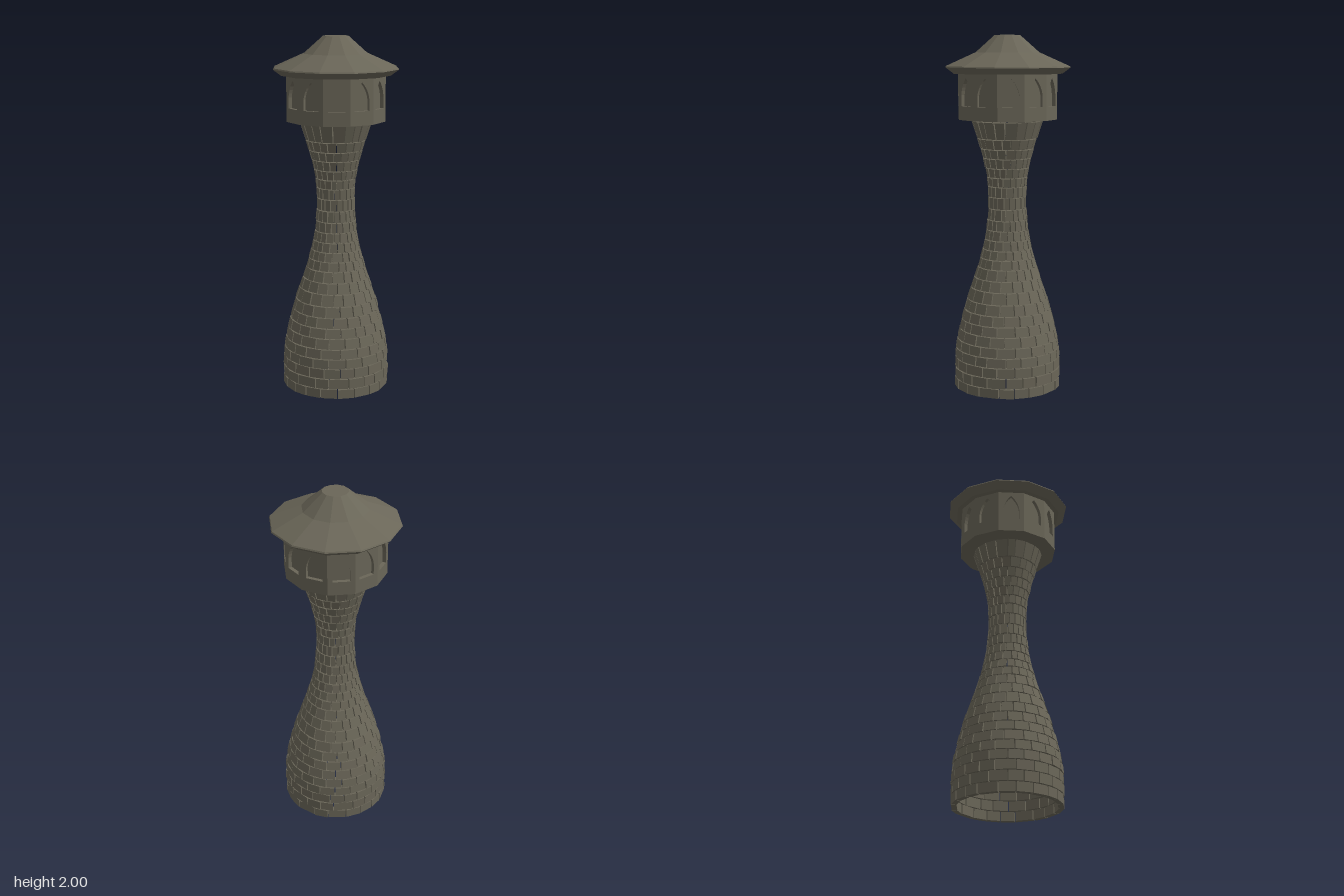
import * as THREE from 'three';
import { mergeGeometries } from 'three/addons/utils/BufferGeometryUtils.js';

const SIDES = 12;

// Small seeded generator for uneven masonry
function makeRandom(seed) {
  return () => (seed = (seed * 16807) % 2147483647) / 2147483647;
}

// Outer wall profile: [height, radius]
const PROFILE = [
  [0, 0.303], [0.12, 0.304], [0.2, 0.302], [0.29, 0.288], [0.4, 0.262], [0.5, 0.235],
  [0.6, 0.201], [0.7, 0.168], [0.8, 0.14], [0.9, 0.12], [1.03, 0.108],
  [1.13, 0.108], [1.21, 0.115], [1.3, 0.132], [1.4, 0.16], [1.53, 0.202],
];

function radiusAt(y) {
  let i = 1;
  while (i < PROFILE.length - 1 && PROFILE[i][0] < y) i++;
  const [y0, r0] = PROFILE[i - 1];
  const [y1, r1] = PROFILE[i];
  return r0 + ((r1 - r0) * (y - y0)) / (y1 - y0);
}

// Heights of the mortar joints
const JOINTS = [0, 0.057, 0.117, 0.175, 0.23, 0.285, 0.343, 0.398, 0.455, 0.515, 0.58, 0.64, 0.7,
  0.752, 0.803, 0.857, 0.912, 0.97, 1.034, 1.1, 1.16, 1.212, 1.265, 1.32, 1.373, 1.43, 1.528];

// A box bent to a wedge between two angles and two heights
function brick(a0, a1, y0, y1, push, thick) {
  const g = new THREE.BoxGeometry(1, 1, 1);
  const p = g.attributes.position;
  for (let i = 0; i < p.count; i++) {
    const a = p.getX(i) < 0 ? a0 : a1;
    const y = p.getY(i) < 0 ? y0 : y1;
    const r = radiusAt(y) + push - (p.getZ(i) < 0 ? thick : 0);
    p.setXYZ(i, r * Math.sin(a), y, r * Math.cos(a));
  }
  g.computeVertexNormals();
  return g;
}

function faceted(geometry) {
  const g = geometry.index ? geometry.toNonIndexed() : geometry;
  g.computeVertexNormals();
  return g;
}

export function createModel() {
  const model = new THREE.Group();
  const stone = new THREE.MeshStandardMaterial({ color: 0x6a6658 });
  stone.name = 'stone';
  const random = makeRandom(77);

  const add = (name, geometry, parent = model) => {
    const mesh = new THREE.Mesh(geometry, stone);
    mesh.name = name;
    parent.add(mesh);
    return mesh;
  };

  // Hollow shaft: courses of separate bricks, staggered row by row
  const shaft = new THREE.Group();
  shaft.name = 'shaft';
  model.add(shaft);
  const perCourse = 20;
  const step = (Math.PI * 2) / perCourse;
  for (let c = 0; c < JOINTS.length - 1; c++) {
    const y0 = JOINTS[c];
    const y1 = JOINTS[c + 1] - 0.005;
    const gap = 0.006 / radiusAt((y0 + y1) / 2);
    const cuts = [];
    for (let i = 0; i < perCourse; i++) {
      cuts.push((i + (c % 2) / 2 + (random() - 0.5) * 0.3) * step);
    }
    cuts.push(cuts[0] + Math.PI * 2);
    const bricks = [];
    for (let i = 0; i < perCourse; i++) {
      const push = (random() - 0.5) * 0.004;
      bricks.push(brick(cuts[i] + gap / 2, cuts[i + 1] - gap / 2, y0, y1, push, 0.03));
    }
    add('brickCourse', mergeGeometries(bricks), shaft);
  }

  // Lookout room: solid core behind twelve panels with pointed window niches
  const R = 0.282;
  const bottom = 1.535;
  const top = 1.795;
  const depth = 0.022;
  const apothem = R * Math.cos(Math.PI / SIDES);
  const half = R * Math.sin(Math.PI / SIDES);

  const room = new THREE.Group();
  room.name = 'lookoutRoom';
  model.add(room);
  const coreR = (apothem - depth + 0.001) / Math.cos(Math.PI / SIDES);
  const core = add('roomCore',
    faceted(new THREE.CylinderGeometry(coreR, coreR, top - bottom, SIDES)), room);
  core.position.y = (top + bottom) / 2;

  const wall = new THREE.Shape();
  wall.moveTo(-half, bottom);
  wall.lineTo(half, bottom);
  wall.lineTo(half, top);
  wall.lineTo(-half, top);
  wall.closePath();
  const w = 0.047;
  const niche = new THREE.Path();
  niche.moveTo(-w, 1.612);
  niche.lineTo(-w, 1.672);
  niche.quadraticCurveTo(-w * 0.85, 1.728, 0, 1.766);
  niche.quadraticCurveTo(w * 0.85, 1.728, w, 1.672);
  niche.lineTo(w, 1.612);
  niche.closePath();
  wall.holes.push(niche);
  const panel = new THREE.ExtrudeGeometry(wall, { depth, bevelEnabled: false, curveSegments: 5 });
  panel.translate(0, 0, apothem - depth);
  for (let i = 0; i < SIDES; i++) {
    add('windowPanel', panel, room).rotation.y = ((i + 0.5) * Math.PI * 2) / SIDES;
  }

  // Roof: undercut eave, shallow skirt, steeper crown and flat cap
  const roofProfile = [
    [0, 1.788], [0.31, 1.788], [0.356, 1.822], [0.352, 1.829],
    [0.181, 1.905], [0.072, 2.0], [0, 2.0],
  ].map(([x, y]) => new THREE.Vector2(x, y));
  add('roof', faceted(new THREE.LatheGeometry(roofProfile, SIDES)));

  return model;
}
